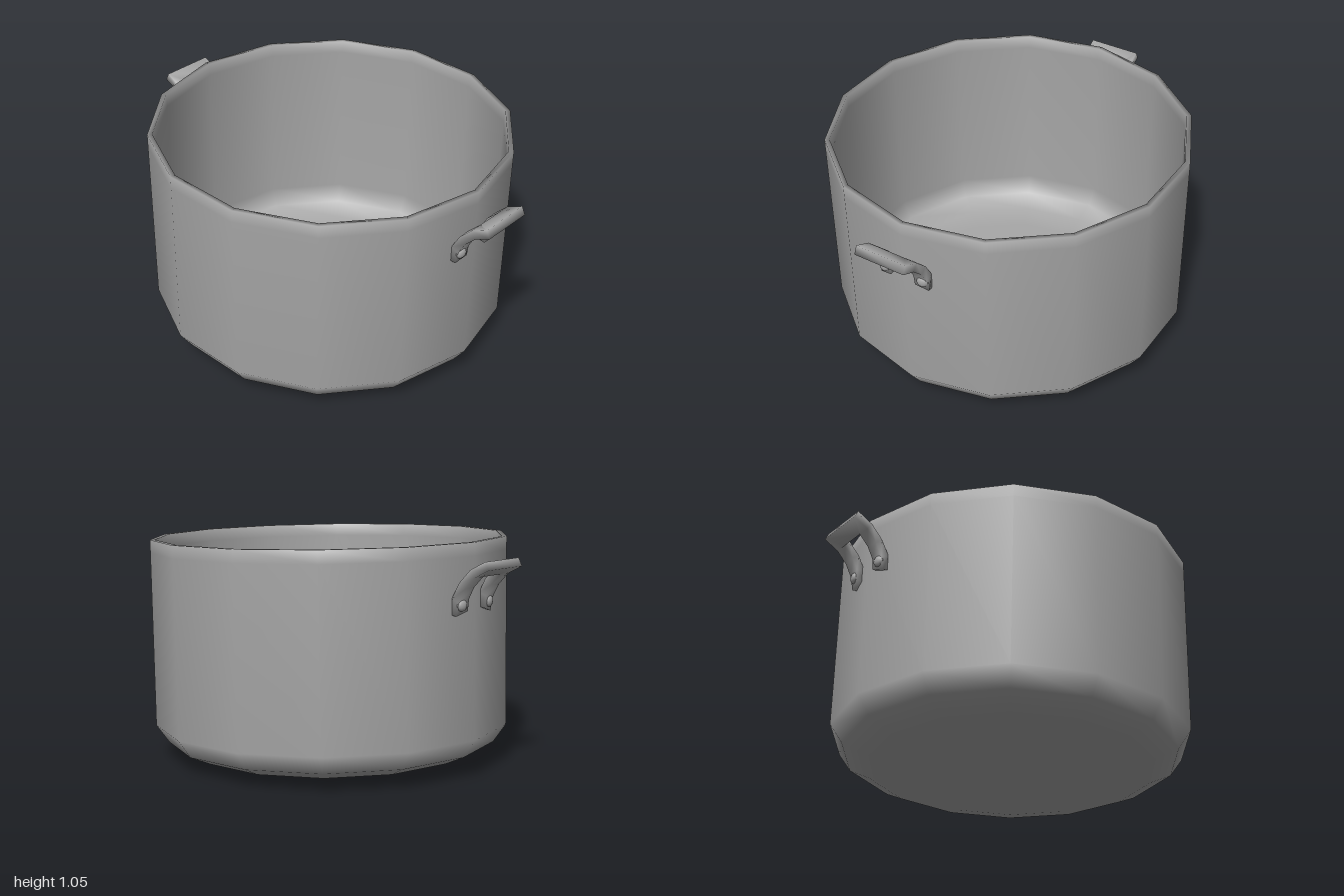
import * as THREE from 'three';

const steel = new THREE.MeshStandardMaterial({ color: 0xa6a6a6 });
steel.name = 'steel grey';

function part(name, geometry) {
  const mesh = new THREE.Mesh(geometry, steel);
  mesh.name = name;
  return mesh;
}

// U-shaped strap: a flat bar swept up one leg, across the grip and down the other
function strapGeometry() {
  const path = [[0.82, 0.742], [0.83, 0.803], [0.863, 0.864], [0.915, 0.917], [0.988, 0.953]]
    .map(([z, y]) => new THREE.Vector2(z, y));
  const half = 0.02, inner = 0.063, outer = 0.125;
  const point = (x, i, side) => {
    const t = path[Math.min(i + 1, 4)].clone().sub(path[Math.max(i - 1, 0)]).normalize();
    const foot = [1, 0.6, 0.2, 0, 0][i] * (x - 0.095); // the feet follow the wall
    return [x, path[i].y + side * half * t.x - 0.3 * foot, path[i].x - side * half * t.y - 0.23 * foot];
  };
  const ring = (a, b) => [point(inner, a, 1), point(outer, b, 1), point(outer, b, -1), point(inner, a, -1)];
  const right = [[0, 0], [1, 1], [2, 2], [3, 3], [3, 4]].map(([a, b]) => ring(a, b));
  const left = right.map((r) => r.map(([x, y, z]) => [-x, y, z])).reverse();
  const rings = [...right, ...left];

  const index = [];
  for (let i = 0; i < rings.length - 1; i++) {
    for (let j = 0; j < 4; j++) {
      const a = i * 4 + j, b = i * 4 + (j + 1) % 4;
      index.push(a, b, a + 4, b, b + 4, a + 4);
    }
  }
  const e = (rings.length - 1) * 4;
  index.push(0, 2, 1, 0, 3, 2, e, e + 1, e + 2, e, e + 2, e + 3);
  // turn the faces outward if the sweep came out inverted
  const p = rings.flat().map((v) => new THREE.Vector3(...v));
  let volume = 0;
  for (let i = 0; i < index.length; i += 3) {
    volume += p[index[i]].dot(p[index[i + 1]].clone().cross(p[index[i + 2]]));
  }
  if (volume < 0) index.reverse();

  const geometry = new THREE.BufferGeometry();
  geometry.setAttribute('position', new THREE.Float32BufferAttribute(rings.flat(2), 3));
  geometry.setIndex(index);
  geometry.computeVertexNormals();
  return geometry;
}

function makeHandle(name) {
  const handle = new THREE.Group();
  handle.name = name;
  handle.add(part('strap', strapGeometry()));
  for (const side of [-1, 1]) {
    const rivet = part('rivet', new THREE.SphereGeometry(0.027, 12, 8));
    rivet.position.set(side * 0.1, 0.777, 0.842);
    rivet.rotation.y = side * Math.PI / 14;
    rivet.scale.z = 0.6;
    handle.add(rivet);
  }
  return handle;
}

export function createModel() {
  const model = new THREE.Group();
  model.name = 'cookingPot';
  const pot = new THREE.Group();
  pot.name = 'tiltedPot';
  model.add(pot);

  // Fourteen-sided wall: outside from the base up, over the rim, inside back down
  const profile = [
    [0, 0.016], [0.57, 0.016], [0.68, 0.038], [0.78, 0.083], [0.838, 0.167], [0.838, 0.98],
    [0.838, 1.039], [0.815, 1.039], [0.812, 0.98],
    [0.812, 0.18], [0.76, 0.105], [0.67, 0.063], [0.56, 0.042], [0, 0.042],
  ].map(([r, y]) => new THREE.Vector2(r, y));
  pot.add(part('body', new THREE.LatheGeometry(profile, 14)));

  // Front and back handles
  const front = makeHandle('frontHandle');
  const back = makeHandle('backHandle');
  back.rotation.y = Math.PI;
  pot.add(front, back);

  // The whole pot leans forward very slightly
  pot.rotation.x = 0.02;
  pot.position.z = -0.014;
  return model;
}
